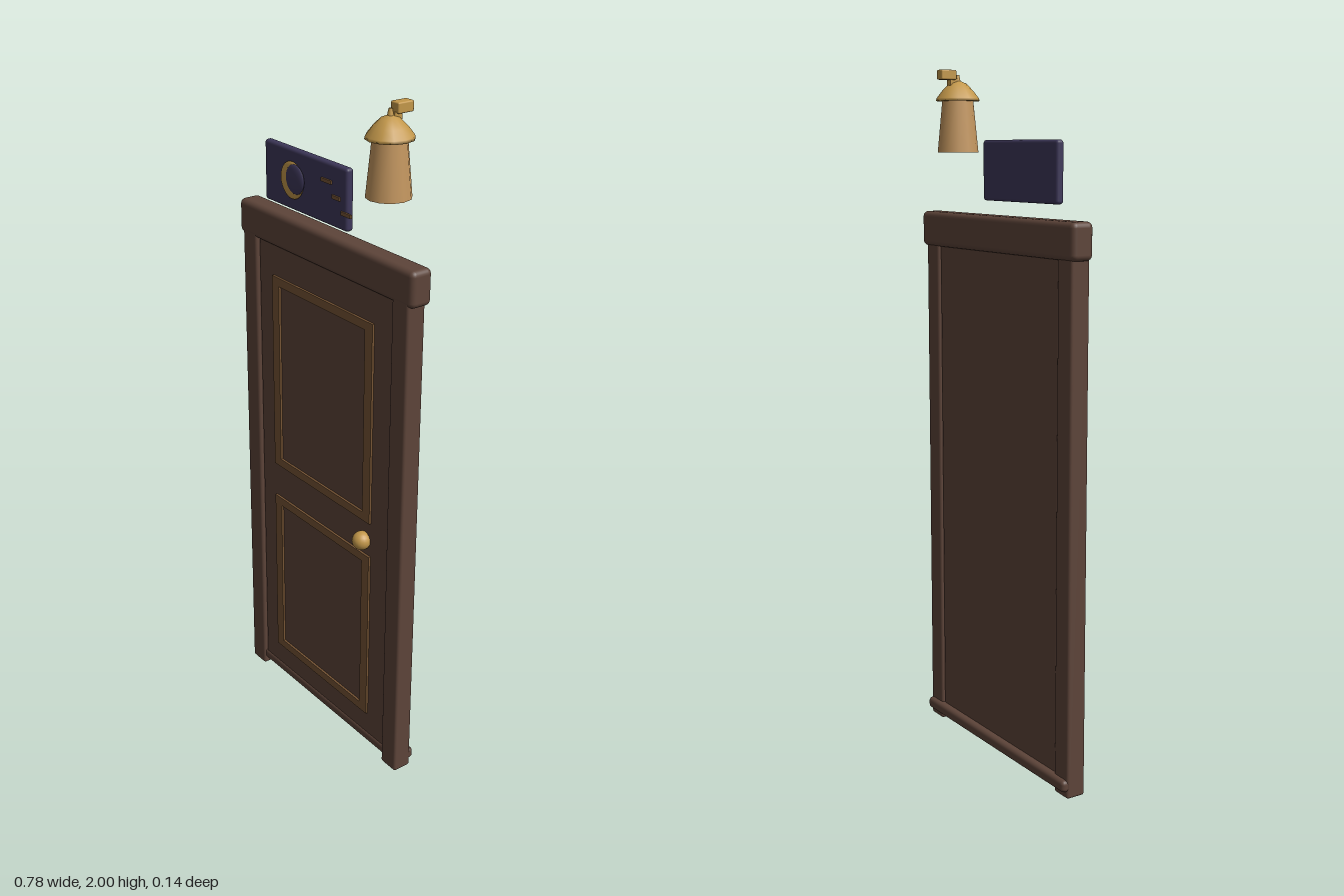
import * as THREE from 'three';
import { RoundedBoxGeometry } from 'three/addons/geometries/RoundedBoxGeometry.js';

const mat = (name, color, side = THREE.FrontSide) => {
  const m = new THREE.MeshStandardMaterial({ color, side });
  m.name = name;
  return m;
};

export function createModel() {
  const wood = mat('brown wood', 0x5d4439);
  const trim = mat('trim wood', 0x765434);
  const gold = mat('brass', 0xc2974a, THREE.DoubleSide);
  const navy = mat('night blue', 0x3d3759);
  const glow = mat('lantern amber', 0xc3965f, THREE.DoubleSide);

  const model = new THREE.Group();
  const add = (name, geometry, material, parent = model) => {
    const mesh = new THREE.Mesh(geometry, material);
    mesh.name = name;
    parent.add(mesh);
    return mesh;
  };
  // Box given by its limits on each axis, with optional rounded edges
  const box = (name, [x0, x1], [y0, y1], [z0, z1], material, r = 0, parent = model) => {
    const size = [x1 - x0, y1 - y0, z1 - z0];
    const g = r ? new RoundedBoxGeometry(...size, 3, r) : new THREE.BoxGeometry(...size);
    add(name, g, material, parent).position.set((x0 + x1) / 2, (y0 + y1) / 2, (z0 + z1) / 2);
  };

  // Door leaf and its surround
  box('doorLeaf', [-0.308, 0.308], [0.04, 1.5], [-0.048, -0.006], wood, 0.006);
  for (const s of [-1, 1]) {
    const x = s * 0.3425;
    box(s > 0 ? 'leftPost' : 'rightPost', [x - 0.033, x + 0.033], [0, 1.51], [-0.055, 0.004], wood, 0.008);
  }
  box('lintel', [-0.392, 0.392], [1.49, 1.592], [-0.063, 0.005], wood, 0.016);
  box('threshold', [-0.374, 0.374], [0.02, 0.055], [-0.07, -0.002], wood, 0.012);

  // Moulding frames around the two door panels
  const panelFrame = (name, y0, y1) => {
    const shape = new THREE.Shape();
    shape.moveTo(-0.235, y0).lineTo(0.23, y0).lineTo(0.23, y1).lineTo(-0.235, y1).closePath();
    const hole = new THREE.Path();
    hole.moveTo(-0.202, y0 + 0.026).lineTo(-0.202, y1 - 0.026);
    hole.lineTo(0.197, y1 - 0.026).lineTo(0.197, y0 + 0.026).closePath();
    shape.holes.push(hole);
    const g = new THREE.ExtrudeGeometry(shape, { depth: 0.008, bevelEnabled: false });
    add(name, g, trim).position.z = -0.007;
  };
  panelFrame('upperPanelFrame', 0.79, 1.4);
  panelFrame('lowerPanelFrame', 0.125, 0.68);

  // Door knob
  add('knob', new THREE.SphereGeometry(0.028, 20, 14), gold).position.set(0.203, 0.727, 0.006);

  // Floating sign: crescent moon made of two flattened discs, and three dashes
  const sign = new THREE.Group();
  sign.name = 'sign';
  model.add(sign);
  box('signBoard', [-0.238, 0.135], [1.63, 1.8], [-0.007, 0.017], navy, 0.009, sign);
  const disc = (name, r, x, y, z, depth, material) => {
    const m = add(name, new THREE.SphereGeometry(r, 24, 14), material, sign);
    m.scale.z = depth / r;
    m.position.set(x, y, z);
  };
  disc('moon', 0.052, -0.101, 1.716, 0.022, 0.008, gold);
  disc('moonShadow', 0.041, -0.082, 1.723, 0.026, 0.009, navy);
  [[0.028, 0.071, 1.75], [0.075, 0.109, 1.714], [0.114, 0.156, 1.679]].forEach(([x0, x1, y], i) =>
    box(`dash${i + 1}`, [x0, x1], [y - 0.005, y + 0.005], [0.016, 0.022], trim, 0, sign));

  // Lantern with tapered body, peaked roof, finial and hanging bracket
  const lantern = new THREE.Group();
  lantern.name = 'lantern';
  lantern.position.set(0.29, 0, 0.005);
  model.add(lantern);
  const body = add('lanternBody', new THREE.CylinderGeometry(0.045, 0.06, 0.153, 12), glow, lantern);
  body.position.y = 1.8405;
  const roofProfile = [[0.001, 1.912], [0.064, 1.912], [0.062, 1.92], [0.045, 1.942], [0.025, 1.962], [0.001, 1.972]]
    .map(p => new THREE.Vector2(...p));
  add('lanternRoof', new THREE.LatheGeometry(roofProfile, 12), gold, lantern);
  add('finial', new THREE.CylinderGeometry(0.005, 0.009, 0.02, 10), gold, lantern).position.y = 1.976;
  box('bracket', [-0.016, 0.016], [1.972, 2.0], [-0.062, -0.012], gold, 0.004, lantern);
  box('bracketStem', [-0.009, 0.009], [1.955, 1.976], [-0.03, -0.006], gold, 0, lantern);

  return model;
}
